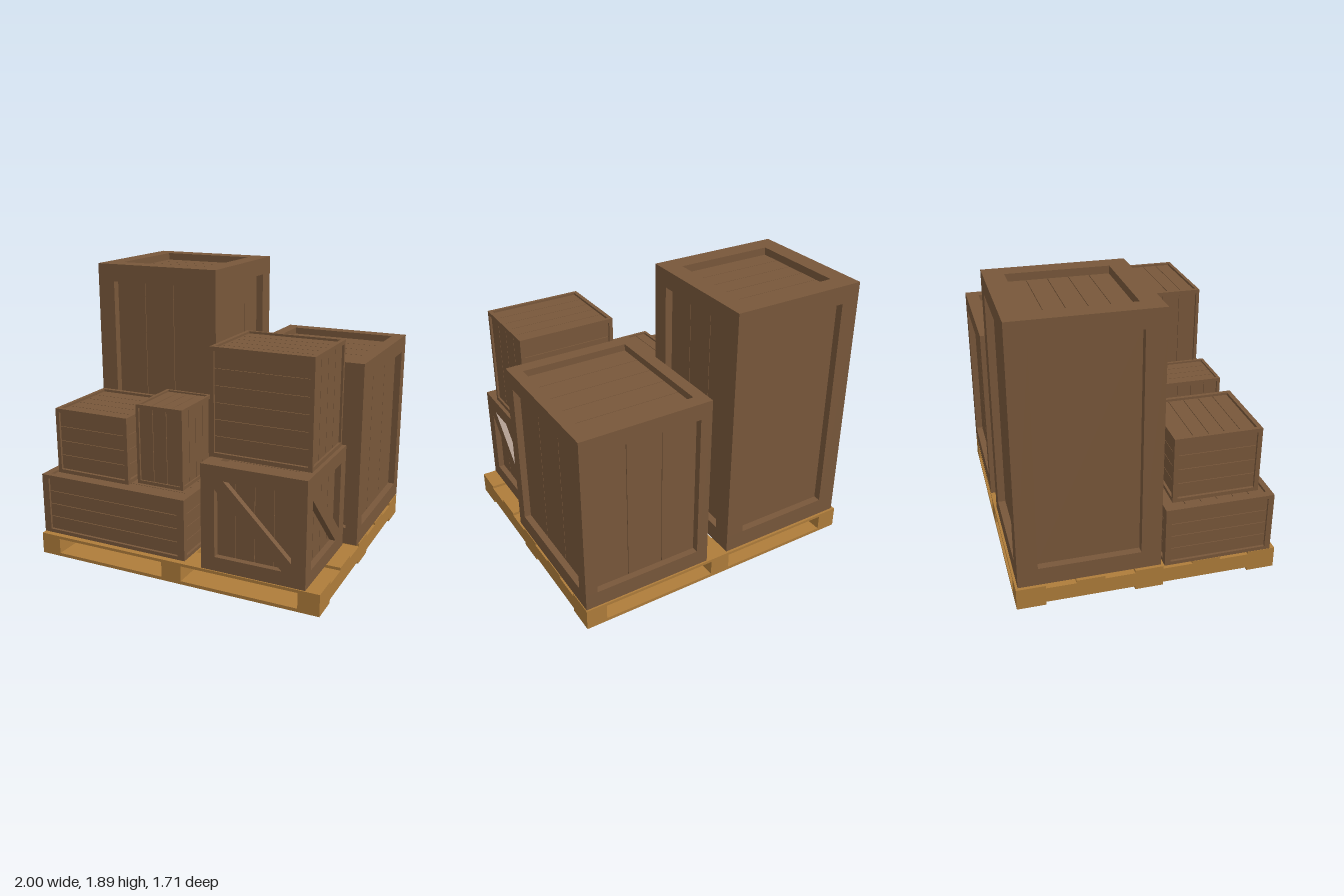
import * as THREE from 'three';

const crateWood = new THREE.MeshStandardMaterial({ color: 0x78573a });
crateWood.name = 'brown crate wood';
const palletWood = new THREE.MeshStandardMaterial({ color: 0xae7c3a });
palletWood.name = 'honey pallet wood';

const GAP = 0.004;   // joint between slats
const SLAT = 0.008;  // slat thickness

function box(parent, name, material, size, pos) {
  const mesh = new THREE.Mesh(new THREE.BoxGeometry(...size), material);
  mesh.name = name;
  mesh.position.set(...pos);
  parent.add(mesh);
  return mesh;
}

// Twelve square beams along the edges of a box; no two beams overlap
function addFrame(group, [w, h, l], [fx, fy, fz]) {
  for (const a of [-1, 1]) for (const b of [-1, 1]) {
    box(group, 'crossBeam', crateWood, [w, fy, fz], [0, a * (h - fy) / 2, b * (l - fz) / 2]);
    box(group, 'cornerPost', crateWood, [fx, h - 2 * fy, fz], [a * (w - fx) / 2, 0, b * (l - fz) / 2]);
    box(group, 'sideBeam', crateWood, [fx, fy, l - 2 * fz], [a * (w - fx) / 2, b * (h - fy) / 2, 0]);
  }
}

// Slats filling a recessed panel; positive count = upright, negative = lying
function addSlats(face, pw, ph, z, count) {
  const n = Math.abs(count), upright = count > 0;
  const pitch = (upright ? pw : ph) / n;
  for (let i = 0; i < n; i++) {
    const at = (i - (n - 1) / 2) * pitch;
    const cut = pitch - (n > 1 ? GAP : 0);
    box(face, 'slat', crateWood,
      upright ? [cut, ph, SLAT] : [pw, cut, SLAT],
      upright ? [at, 0, z - SLAT / 2] : [0, at, z - SLAT / 2]);
  }
}

// Diagonal board from upper left to lower right of a panel
function addBrace(face, pw, ph, z, depth) {
  const x = pw / 2, y = ph / 2, t = 0.06;
  const shape = new THREE.Shape([
    [-x, y], [-x, y - t], [x - t, -y], [x, -y], [x, t - y], [t - x, y],
  ].map(p => new THREE.Vector2(...p)));
  const mesh = new THREE.Mesh(new THREE.ExtrudeGeometry(shape, { depth, bevelEnabled: false }), crateWood);
  mesh.name = 'diagonalBrace';
  mesh.position.z = z - depth;
  face.add(mesh);
}

function makeCrate({ name, min, max, frame, depth, slats, brace }) {
  const group = new THREE.Group();
  group.name = name;
  const size = max.map((v, i) => v - min[i]);
  group.position.set(...max.map((v, i) => (v + min[i]) / 2));
  const [w, h, l] = size, [fx, fy, fz] = frame;

  addFrame(group, size, frame);
  box(group, 'crateCore', crateWood, size.map(s => s - 2 * (depth + SLAT)), [0, 0, 0]);

  // Each face: name, rotation, panel width and height, distance from centre
  const q = Math.PI / 2;
  const faces = [
    ['front', 0, 0, w - 2 * fx, h - 2 * fy, l / 2],
    ['left', 0, q, l - 2 * fz, h - 2 * fy, w / 2],
    ['back', 0, 2 * q, w - 2 * fx, h - 2 * fy, l / 2],
    ['right', 0, -q, l - 2 * fz, h - 2 * fy, w / 2],
    ['top', -q, 0, w - 2 * fx, l - 2 * fz, h / 2],
    ['bottom', q, 0, w - 2 * fx, l - 2 * fz, h / 2],
  ];
  faces.forEach(([side, rx, ry, pw, ph, dist], i) => {
    const face = new THREE.Group();
    face.name = side + 'Panel';
    face.rotation.set(rx, ry, 0);
    addSlats(face, pw, ph, dist - depth, slats[i]);
    if (brace && i < 4) addBrace(face, pw, ph, dist, depth);
    group.add(face);
  });
  return group;
}

function makePallet() {
  const pallet = new THREE.Group();
  pallet.name = 'pallet';
  for (const x of [-0.93, 0, 0.93])
    box(pallet, 'stringer', palletWood, [0.14, 0.104, 1.71], [x, 0.074, 0]);
  for (const z of [-0.762, -0.381, 0, 0.381, 0.762])
    box(pallet, 'deckBoard', palletWood, [2, 0.019, 0.186], [0, 0.1355, z]);
  for (const z of [-0.762, 0, 0.762])
    box(pallet, 'bottomBoard', palletWood, [2, 0.022, 0.186], [0, 0.011, z]);
  return pallet;
}

// Slat counts are in the order front, left, back, right, top, bottom
const crates = [
  { name: 'tallCrate', min: [-0.98, 0.147, -0.84], max: [-0.06, 1.89, 0.08],
    frame: [0.125, 0.12, 0.13], depth: 0.05, slats: [3, 3, 1, 1, -5, -5] },
  { name: 'largeCrate', min: [0.11, 0.157, -0.855], max: [1, 1.38, 0.15],
    frame: [0.08, 0.11, 0.09], depth: 0.045, slats: [3, 3, 3, 3, -5, -5] },
  { name: 'wideCrate', min: [-1, 0.147, 0.1], max: [0.08, 0.56, 0.82],
    frame: [0.05, 0.024, 0.038], depth: 0.015, slats: [-4, -4, -4, -4, -6, -6] },
  { name: 'mediumCrate', min: [-0.92, 0.56, 0.165], max: [-0.37, 1.01, 0.74],
    frame: [0.026, 0.025, 0.03], depth: 0.016, slats: [-4, -4, -4, -4, -5, -5] },
  { name: 'smallCrate', min: [-0.335, 0.56, 0.27], max: [0, 1.095, 0.68],
    frame: [0.02, 0.022, 0.02], depth: 0.011, slats: [3, 4, 3, 4, 4, 4] },
  { name: 'bracedCrate', min: [0.215, 0.147, 0.155], max: [0.905, 0.84, 0.85],
    frame: [0.092, 0.093, 0.092], depth: 0.04, slats: [4, 4, 4, 4, -4, -4], brace: true },
  { name: 'upperCrate', min: [0.215, 0.84, 0.175], max: [0.88, 1.53, 0.715],
    frame: [0.026, 0.027, 0.022], depth: 0.014, slats: [-6, 4, -6, 4, -5, -5] },
];

export function createModel() {
  const model = new THREE.Group();
  model.name = 'loadedPallet';
  model.add(makePallet(), ...crates.map(makeCrate));
  return model;
}
